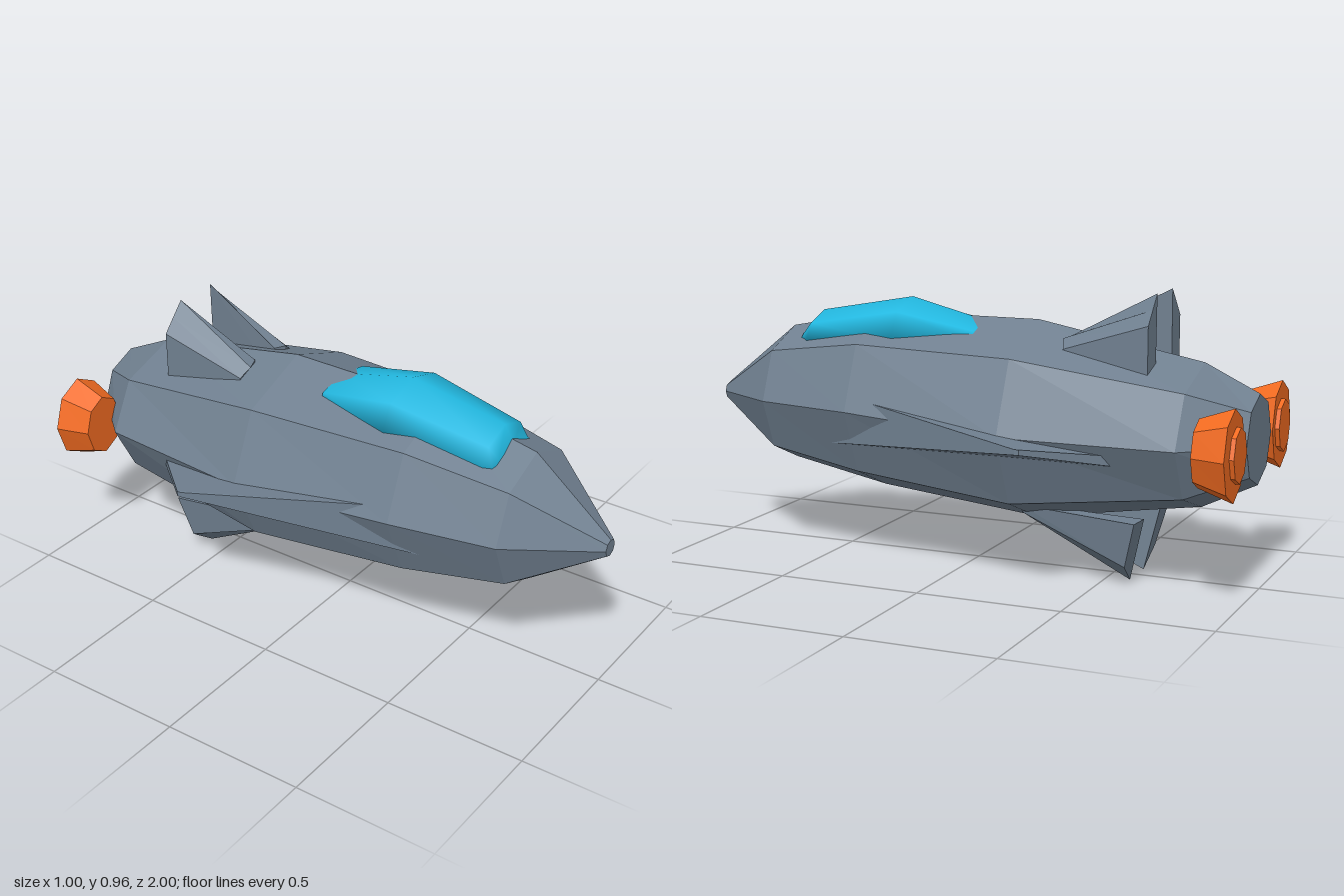
import * as THREE from 'three';

const hullMat = new THREE.MeshStandardMaterial({ color: 0x708090, flatShading: true });
const engineMat = new THREE.MeshStandardMaterial({ color: 0xf26b21, flatShading: true });
const glassMat = new THREE.MeshStandardMaterial({ color: 0x22b8e0 });

// Skin closed rings of [x, y, z]; the first ring is capped facing outward, the last one too.
function loft(name, rings, mat) {
  const n = rings[0].length;
  const last = (rings.length - 1) * n;
  const index = [];
  for (let i = 0; i < rings.length - 1; i++) {
    for (let j = 0; j < n; j++) {
      const a = i * n + j, b = i * n + (j + 1) % n;
      index.push(a, a + n, b, b, a + n, b + n);
    }
  }
  for (let j = 1; j < n - 1; j++) {
    index.push(0, j, j + 1, last, last + j + 1, last + j);
  }
  let geo = new THREE.BufferGeometry();
  geo.setAttribute('position', new THREE.Float32BufferAttribute(rings.flat(2), 3));
  geo.setIndex(index);
  if (mat.flatShading) geo = geo.toNonIndexed();
  geo.computeVertexNormals();
  const mesh = new THREE.Mesh(geo, mat);
  mesh.name = name;
  return mesh;
}

// Eight-sided ring with a corner at the top
function octagon(cx, cy, z, rx, ry) {
  return Array.from({ length: 8 }, (_, i) => {
    const a = (i * Math.PI) / 4;
    return [cx + rx * Math.cos(a), cy + ry * Math.sin(a), z];
  });
}

// Mirror rings across x = 0, keeping faces outward
const mirror = (rings) => rings.map((r) => r.map(([x, y, z]) => [-x, y, z]).reverse());

export function createModel() {
  const model = new THREE.Group();
  const addPair = (name, rings, mat) => {
    model.add(loft('left' + name, rings, mat), loft('right' + name, mirror(rings), mat));
  };

  // Hull: centre height, z, half width, half height
  const hull = [
    [0.525, 1, 0.03, 0.03],
    [0.54, 0.72, 0.235, 0.24],
    [0.54, 0.36, 0.31, 0.31],
    [0.51, -0.22, 0.367, 0.34],
    [0.5, -0.8, 0.31, 0.24],
    [0.5, -0.985, 0.15, 0.15],
  ];
  model.add(loft('hull', hull.map(([y, z, rx, ry]) => octagon(0, y, z, rx, ry)), hullMat));

  // Canopy: z, top height, shoulder x and y, edge x and y
  const canopy = [
    [0.635, 0.785, 0.09, 0.765, 0.125, 0.735],
    [0.6, 0.842, 0.1, 0.805, 0.135, 0.745],
    [0.25, 0.905, 0.13, 0.865, 0.178, 0.77],
    [-0.03, 0.835, 0.115, 0.813, 0.13, 0.775],
  ];
  model.add(loft('canopy', canopy.map(([z, top, sx, sy, ex, ey]) => [
    [ex, ey, z], [sx, sy, z], [0, top, z], [-sx, sy, z], [-ex, ey, z], [0, ey - 0.08, z],
  ]), glassMat));

  // Wings: tip, then root inside the hull
  addPair('Wing', [
    [[0.5, 0.49, -0.34], [0.5, 0.49, -0.355], [0.5, 0.508, -0.355], [0.5, 0.508, -0.34]],
    [[0.2, 0.405, 0.57], [0.2, 0.41, -0.69], [0.2, 0.45, -0.69], [0.2, 0.61, 0.57]],
  ], hullMat);

  // Upper fins
  addPair('UpperFin', [
    [[0.055, 0.7, -0.36], [0.14, 0.7, -0.36], [0.14, 0.775, -0.36], [0.1, 0.805, -0.345], [0.055, 0.81, -0.36]],
    [[0.085, 0.68, -0.66], [0.168, 0.68, -0.66], [0.168, 0.87, -0.66], [0.125, 0.917, -0.66], [0.08, 0.965, -0.66]],
  ], hullMat);

  // Lower fins
  addPair('LowerFin', [
    [[0.035, 0.18, -0.22], [0.095, 0.205, -0.2], [0.1, 0.23, -0.2], [0.04, 0.22, -0.22]],
    [[0.07, 0.005, -0.58], [0.16, 0.07, -0.59], [0.188, 0.225, -0.63], [0.085, 0.22, -0.63]],
  ], hullMat);

  // Engines with a short nozzle behind
  addPair('Engine', [
    octagon(0.29, 0.5, -0.87, 0.085, 0.11),
    octagon(0.29, 0.5, -0.985, 0.12, 0.15),
  ], engineMat);
  addPair('Nozzle', [
    octagon(0.275, 0.5, -0.97, 0.075, 0.09),
    octagon(0.275, 0.5, -1, 0.075, 0.09),
  ], engineMat);

  return model;
}
